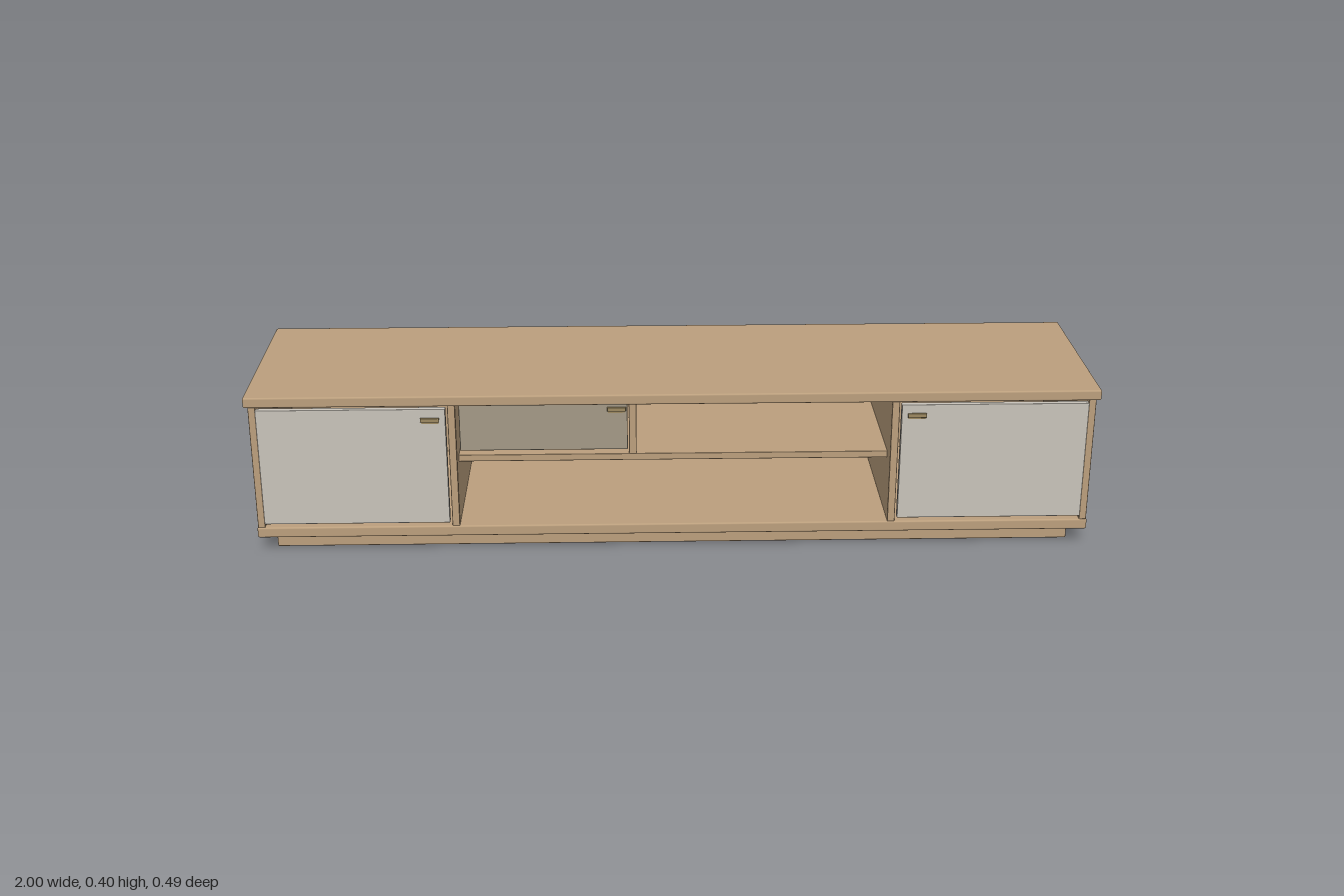
import * as THREE from 'three';
import { RoundedBoxGeometry } from 'three/addons/geometries/RoundedBoxGeometry.js';

const material = (name, color) => {
  const m = new THREE.MeshStandardMaterial({ color });
  m.name = name;
  return m;
};

export function createModel() {
  const group = new THREE.Group();
  const wood = material('oak wood', 0xbb9f7d);
  const paleGrey = material('pale grey door', 0xc8c3ba);
  const darkGrey = material('smoky grey panel', 0xa39986);
  const brass = material('brass handle', 0x9c8961);

  // Board given by its minimum and maximum on each axis, with softened edges
  const board = (name, mat, [x0, x1], [y0, y1], [z0, z1], radius = 0.003) => {
    const w = x1 - x0, h = y1 - y0, d = z1 - z0;
    const geometry = radius > 0
      ? new RoundedBoxGeometry(w, h, d, 2, radius)
      : new THREE.BoxGeometry(w, h, d);
    const mesh = new THREE.Mesh(geometry, mat);
    mesh.name = name;
    mesh.position.set((x0 + x1) / 2, (y0 + y1) / 2, (z0 + z1) / 2);
    group.add(mesh);
    return mesh;
  };

  // Pull: a bar standing off the door on a slim mounting plate
  const handle = (name, x, z) => {
    board(name + 'Bar', brass, [x - 0.022, x + 0.022], [0.337, 0.347], [z + 0.002, z + 0.008], 0.001);
    board(name + 'Plate', brass, [x - 0.02, x + 0.02], [0.332, 0.343], [z - 0.002, z + 0.003], 0);
  };

  // Horizontal slabs
  board('plinth', wood, [-0.955, 0.955], [0, 0.043], [-0.215, 0.198]);
  board('baseSlab', wood, [-0.993, 0.993], [0.042, 0.068], [-0.238, 0.238], 0.004);
  board('topSlab', wood, [-1, 1], [0.377, 0.402], [-0.245, 0.245], 0.004);

  // Upright panels, doors and handles, mirrored on both ends
  for (const s of [-1, 1]) {
    const side = s < 0 ? 'right' : 'left';
    const span = (a, b) => (s > 0 ? [a, b] : [-b, -a]);
    board(side + 'SidePanel', wood, span(0.974, 0.991), [0.067, 0.378], [-0.236, 0.236], 0.002);
    board(side + 'Divider', wood, span(0.511, 0.529), [0.067, 0.378], [-0.236, 0.236], 0.002);
    board(side + 'Door', paleGrey, span(0.534, 0.975), [0.076, 0.367], [0.22, 0.236], 0.002);
    handle(side + 'DoorHandle', s * 0.57, 0.236);
    board(side + 'BackPanel', wood, span(0.528, 0.975), [0.067, 0.378], [-0.23, -0.22], 0);
  }
  board('middleBackPanel', wood, [-0.512, 0.512], [0.067, 0.378], [-0.23, -0.22], 0);

  // Recessed shelf and the short upright standing on it
  board('middleShelf', wood, [-0.512, 0.512], [0.212, 0.229], [-0.221, 0.185], 0.002);
  board('shortDivider', wood, [-0.106, -0.088], [0.228, 0.378], [-0.221, 0.185], 0.002);

  // Small recessed flap door
  board('flapDoor', darkGrey, [-0.508, -0.109], [0.237, 0.367], [0.163, 0.178], 0.002);
  handle('flapHandle', -0.135, 0.178);

  // Cable cover on the inside of the back
  board('cableCover', darkGrey, [0, 0.165], [0.255, 0.286], [-0.221, -0.216], 0);

  return group;
}
